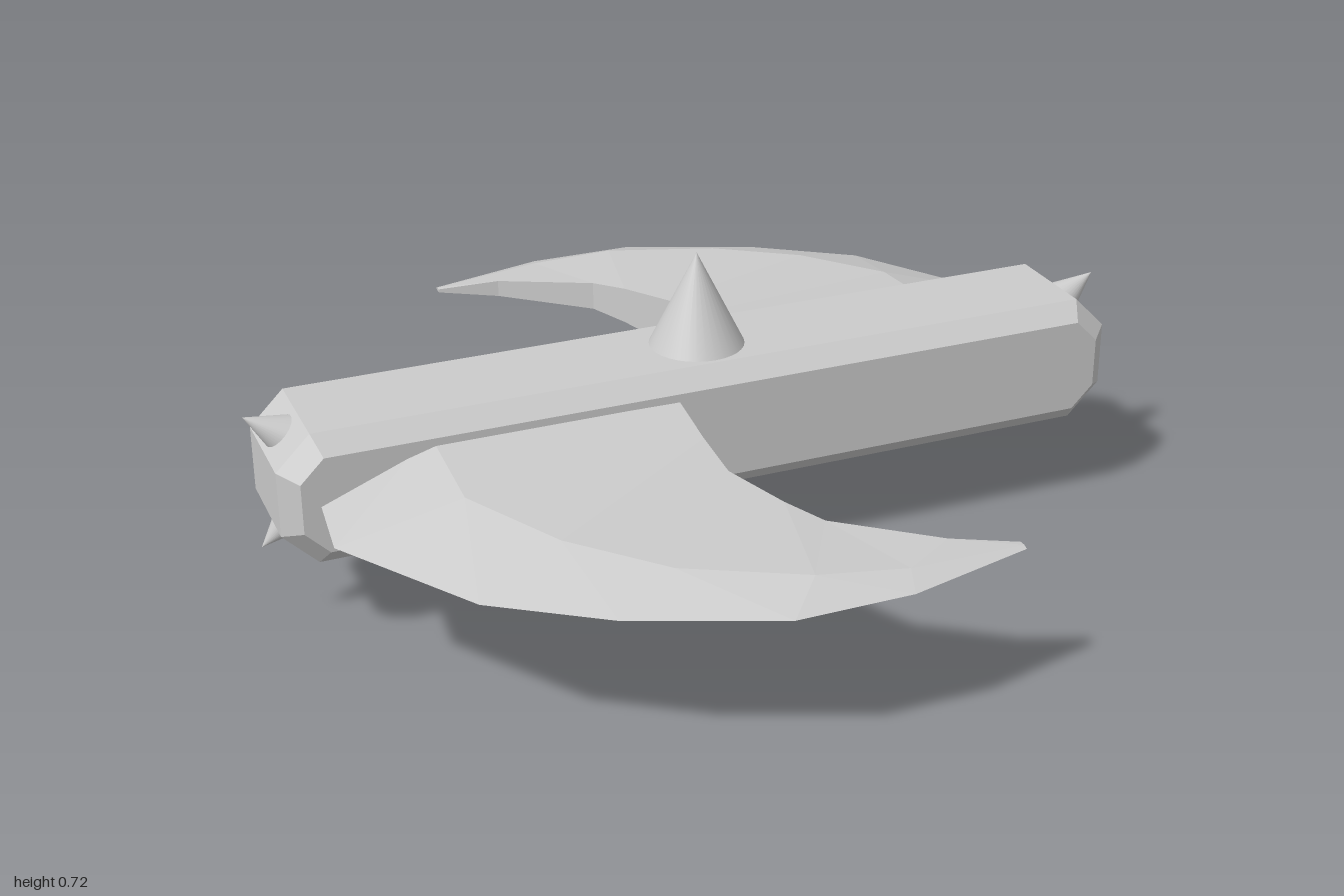
import * as THREE from 'three';

const MID = 0.362; // height of the horizontal symmetry plane

const flat = new THREE.MeshStandardMaterial({ color: 0xcccccc, flatShading: true });
const smooth = new THREE.MeshStandardMaterial({ color: 0xcccccc });

function addMesh(parent, name, geometry, material) {
  const mesh = new THREE.Mesh(geometry, material);
  mesh.name = name;
  parent.add(mesh);
  return mesh;
}

// Cone running from a base centre to a tip
function addSpike(parent, name, base, tip, radius) {
  const dir = tip.clone().sub(base);
  const cone = addMesh(parent, name, new THREE.ConeGeometry(radius, dir.length(), 32), smooth);
  cone.position.copy(base).addScaledVector(dir, 0.5);
  cone.quaternion.setFromUnitVectors(new THREE.Vector3(0, 1, 0), dir.normalize());
}

// Long bar: octagonal outline with bevelled front and back edges
function barGeometry() {
  const x = 0.965, y = 0.1475, c = 0.075, bevel = 0.04;
  const shape = new THREE.Shape([
    [x, c - y], [x, y - c], [x - c, y], [c - x, y],
    [-x, y - c], [-x, c - y], [c - x, -y], [x - c, -y],
  ].map(([px, py]) => new THREE.Vector2(px, py)));
  return new THREE.ExtrudeGeometry(shape, {
    depth: 0.23, bevelEnabled: true, bevelSegments: 1,
    bevelThickness: bevel, bevelSize: bevel, bevelOffset: -bevel,
  }).translate(0, 0, -0.115);
}

// Curved blade: each station is outer edge, ridge, inner edge (x, z) and half thickness
function bladeGeometry() {
  const stations = [
    [-0.88, 0.10, -0.64, 0.10, -0.10, 0.10, 0.095],
    [-0.905, 0.33, -0.645, 0.36, -0.11, 0.30, 0.073],
    [-0.71, 0.645, -0.52, 0.57, -0.11, 0.43, 0.058],
    [-0.49, 0.80, -0.35, 0.73, -0.05, 0.57, 0.044],
    [-0.19, 0.925, -0.11, 0.84, 0.00, 0.655, 0.034],
    [0.06, 0.925, 0.08, 0.865, 0.20, 0.79, 0.02],
    [0.34, 0.855, 0.34, 0.845, 0.34, 0.832, 0.004],
  ];
  const positions = [], index = [], n = 5;
  for (const [ox, oz, rx, rz, ix, iz, h] of stations) {
    positions.push(ox, 0, oz, rx, h, rz, ix, h, iz, ix, -h, iz, rx, -h, rz);
  }
  for (let s = 0; s < stations.length - 1; s++) {
    for (let j = 0; j < n; j++) {
      const a = s * n + j, b = s * n + (j + 1) % n;
      index.push(a, a + n, b, b, a + n, b + n);
    }
  }
  // Root and tip caps
  const end = (stations.length - 1) * n;
  for (let j = 1; j < n - 1; j++) {
    index.push(0, j, j + 1, end, end + j + 1, end + j);
  }
  const geometry = new THREE.BufferGeometry();
  geometry.setAttribute('position', new THREE.Float32BufferAttribute(positions, 3));
  geometry.setIndex(index);
  const faceted = geometry.toNonIndexed();
  faceted.computeVertexNormals();
  return faceted;
}

export function createModel() {
  const model = new THREE.Group();
  model.name = 'bladedBar';

  addMesh(model, 'bar', barGeometry(), flat).position.y = MID;

  // Two blades, half a turn apart
  const blade = bladeGeometry();
  ['frontBlade', 'backBlade'].forEach((name, i) => {
    const mesh = addMesh(model, name, blade, flat);
    mesh.position.y = MID;
    mesh.rotation.y = i * Math.PI;
  });

  // Large central spikes
  const v = (x, y) => new THREE.Vector3(x, y, 0);
  addSpike(model, 'topSpike', v(0, 0.505), v(0, 0.72), 0.107);
  addSpike(model, 'bottomSpike', v(0, 0.22), v(0, 0.005), 0.107);

  // Small spikes on the four end bevels
  for (const [side, s] of [['left', 1], ['right', -1]]) {
    addSpike(model, side + 'UpperEndSpike', v(s * 0.91, 0.455), v(s * 1.0, 0.515), 0.05);
    addSpike(model, side + 'LowerEndSpike', v(s * 0.907, 0.28), v(s * 0.985, 0.21), 0.045);
  }
  return model;
}
